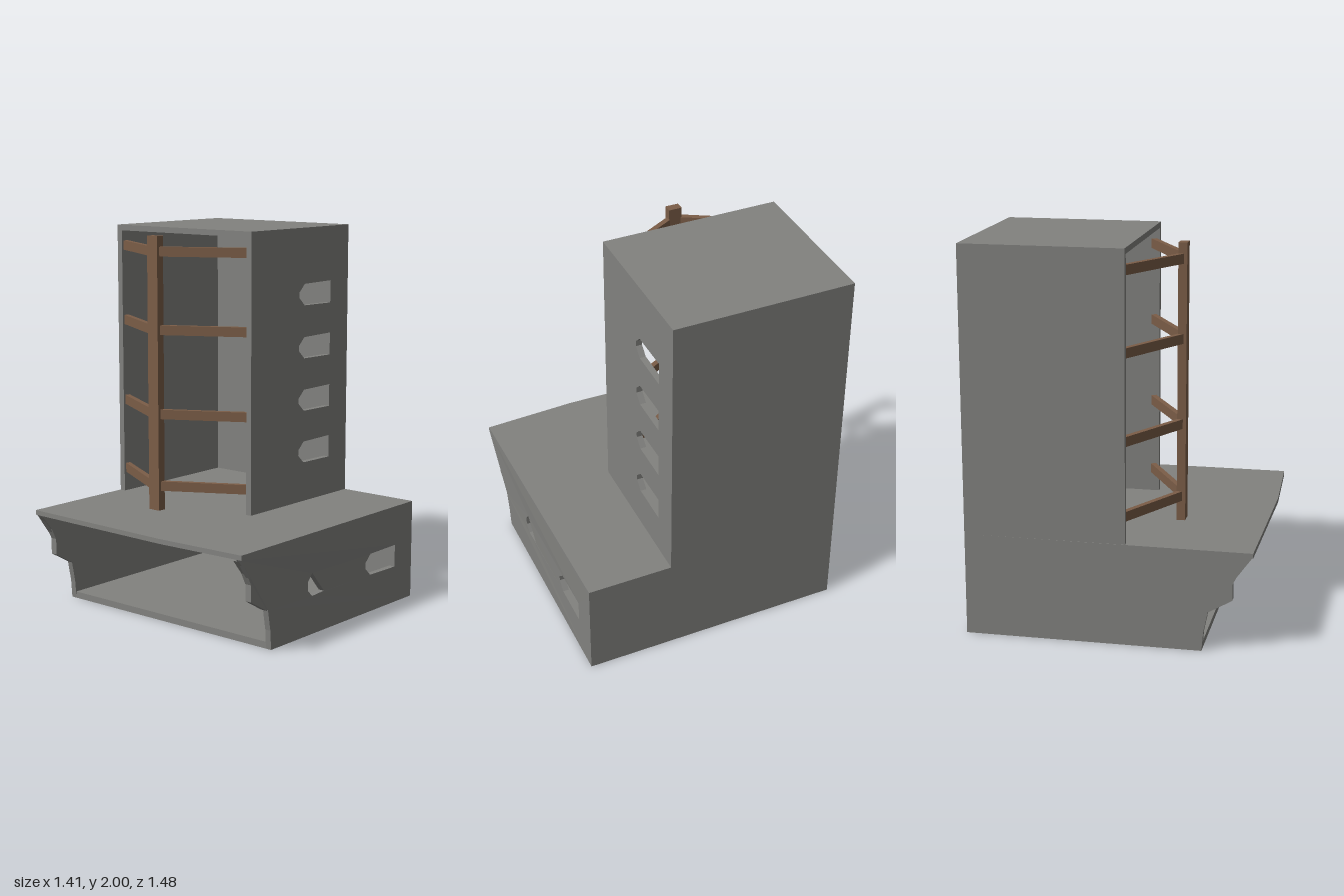
import * as THREE from 'three';

const T = 0.032; // wall thickness
const BACK = -0.742;

export function createModel() {
  const model = new THREE.Group();
  model.name = 'ruinedTower';
  const stone = new THREE.MeshStandardMaterial({ name: 'grey stone', color: 0x82827f });
  const wood = new THREE.MeshStandardMaterial({ name: 'brown wood', color: 0x7b5d47 });

  const add = (name, geometry, material) => {
    const mesh = new THREE.Mesh(geometry, material);
    mesh.name = name;
    model.add(mesh);
    return mesh;
  };
  // Box given by its lower and upper corners
  const block = (name, [x0, y0, z0], [x1, y1, z1], material = stone) => {
    const g = new THREE.BoxGeometry(x1 - x0, y1 - y0, z1 - z0);
    g.translate((x0 + x1) / 2, (y0 + y1) / 2, (z0 + z1) / 2);
    return add(name, g, material);
  };
  const toPoints = (list) => list.map(([a, b]) => new THREE.Vector2(a, b));
  // Upright slab with a (z, y) outline, filling x1 - t to x1
  const sideSlab = (name, outline, x1, t, holes = []) => {
    const shape = new THREE.Shape(toPoints(outline));
    holes.forEach((h) => shape.holes.push(new THREE.Path(toPoints(h))));
    const g = new THREE.ExtrudeGeometry(shape, { depth: t, bevelEnabled: false });
    g.rotateY(-Math.PI / 2);
    g.translate(x1, 0, 0);
    return add(name, g, stone);
  };
  // Sideways arched window, its point towards the front
  const slot = (y) => [
    [-0.585, y - 0.06], [-0.36, y - 0.057], [-0.315, y - 0.015],
    [-0.315, y + 0.015], [-0.36, y + 0.057], [-0.585, y + 0.06],
  ];

  // Base: floor, back and broken side walls
  const baseOutline = [
    [BACK, 0], [0.47, 0], [0.478, 0.1], [0.5, 0.21], [0.64, 0.4], [0.715, 0.505], [BACK, 0.505],
  ];
  const brokenHole = [[0.045, 0.205], [0.145, 0.32], [0.18, 0.28], [0.18, 0.235], [0.145, 0.2]];
  const right = sideSlab('baseLeftWall', baseOutline, 0.69, T, [slot(0.257), brokenHole]);
  sideSlab('baseRightWall', baseOutline, -0.7 + T, T);
  block('baseFloor', [-0.7 + T, 0, BACK], [0.69 - T, 0.035, 0.47]);
  block('baseBackWall', [-0.7 + T, 0.035, BACK], [0.69 - T, 0.505, BACK + T]);
  block('baseCornerPier', [0.385, 0.035, BACK + T], [0.69 - T, 0.505, -0.62]);

  // The open wall flares slightly at its upper front corner
  const p = right.geometry.attributes.position;
  for (let i = 0; i < p.count; i++) {
    p.setX(i, p.getX(i) + 0.014 * Math.max(0, p.getZ(i)) * p.getY(i) / 0.36);
  }
  right.geometry.computeVertexNormals();

  // Jagged masonry left on the inside of each broken edge
  const shard = [[0.47, 0.21], [0.5, 0.205], [0.62, 0.275], [0.62, 0.36], [0.65, 0.42], [0.71, 0.495], [0.56, 0.4]];
  sideSlab('leftBrokenEdge', shard, 0.69 - 0.004, 0.036);
  sideSlab('rightBrokenEdge', shard, -0.66, 0.036);

  // Base roof with a shallow point at its front edge
  const roof = new THREE.ExtrudeGeometry(
    new THREE.Shape(toPoints([[-0.7, BACK], [0.69, BACK], [0.705, 0.715], [0.2, 0.738], [-0.705, 0.72]])),
    { depth: 0.025, bevelEnabled: false });
  roof.rotateX(Math.PI / 2);
  roof.translate(0, 0.53, 0);
  add('baseRoof', roof, stone);

  // Tower shell, open towards the front
  const front = 0.083;
  const towerOutline = [[BACK, 0.53], [front, 0.53], [front, 1.97], [BACK, 1.97]];
  sideSlab('towerLeftWall', towerOutline, 0.24, T, [0.8, 1.082, 1.365, 1.648].map(slot));
  sideSlab('towerRightWall', towerOutline, -0.7 + T, T);
  block('towerBackWall', [-0.7 + T, 0.53, BACK], [0.24 - T, 1.97, BACK + T]);
  block('towerCornerPier', [0.1, 0.53, BACK + T], [0.24 - T, 1.97, -0.62]);
  block('towerRoof', [-0.7, 1.97, BACK], [0.24, 2, front]);

  // Timber post with pairs of angled braces
  const postX = -0.234;
  block('timberPost', [postX - 0.035, 0.53, 0.265], [postX + 0.035, 1.97, 0.31], wood);
  for (const y of [0.66, 1.043, 1.485, 1.89]) {
    for (const s of [-1, 1]) {
      const dx = 0.415, dz = -0.232;
      const brace = add(s < 0 ? 'rightBrace' : 'leftBrace',
        new THREE.BoxGeometry(Math.hypot(dx, dz), 0.05, 0.028), wood);
      brace.position.set(postX + s * (0.02 + dx / 2), y, 0.286 + dz / 2);
      brace.rotation.y = -s * Math.atan2(dz, dx);
    }
  }
  return model;
}
